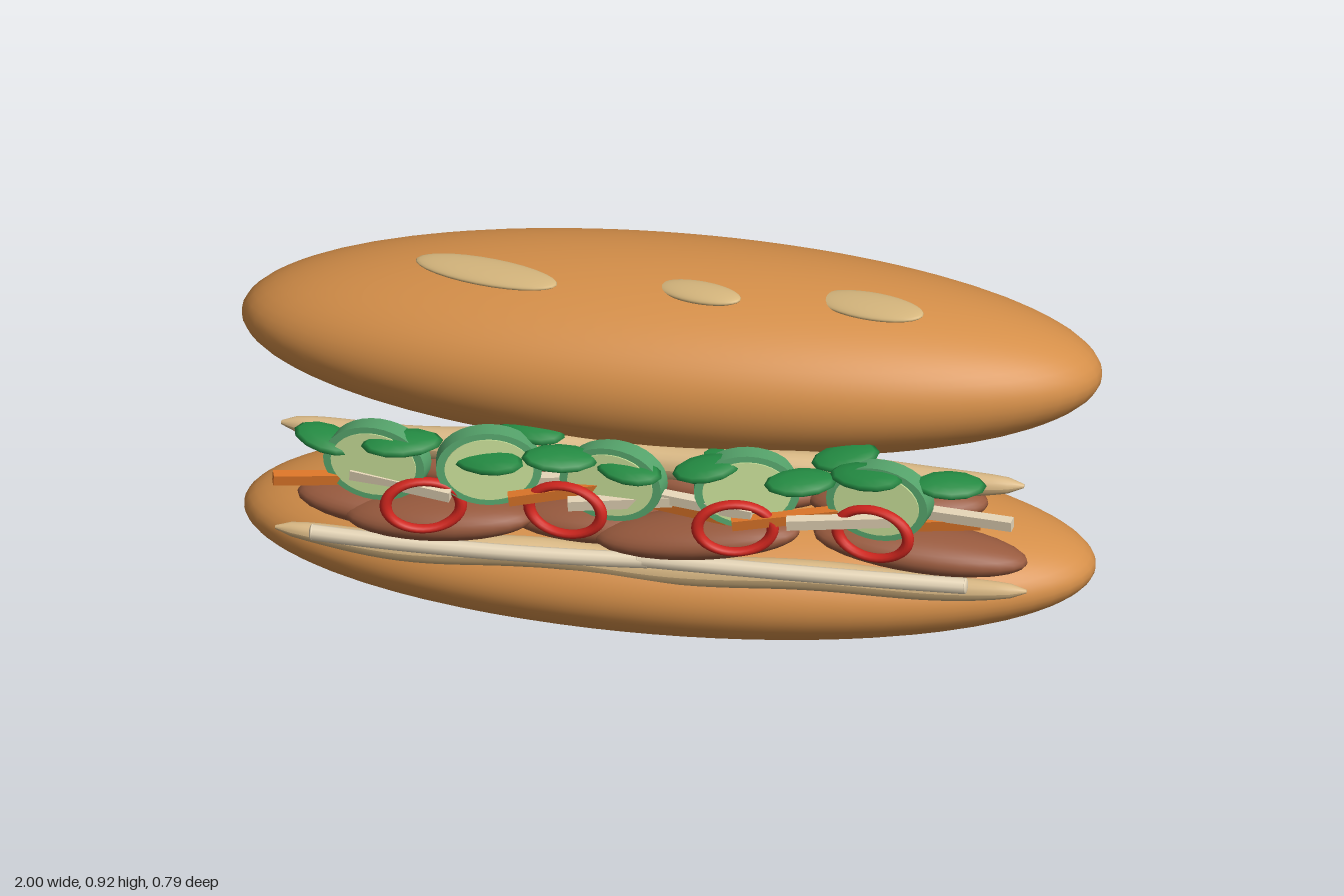
import * as THREE from 'three';

const mat = (name, color) => {
  const m = new THREE.MeshStandardMaterial({ color });
  m.name = name;
  return m;
};

export function createModel() {
  const root = new THREE.Group();
  root.name = 'sandwich';
  const M = {
    crust: mat('crust', 0xd58f49),
    seed: mat('seed', 0xd9b97f),
    sauce: mat('sauce', 0xd9b884),
    cream: mat('cream', 0xe6d6b8),
    meat: mat('meat', 0x985a3e),
    rind: mat('cucumber rind', 0x56a56c),
    flesh: mat('cucumber flesh', 0xc6dc96),
    herb: mat('herb', 0x238a42),
    chilli: mat('chilli', 0xd0261e),
    carrot: mat('carrot', 0xdc7528),
  };

  const add = (name, geo, material, pos, rot = [0, 0, 0], scale = [1, 1, 1], parent = root) => {
    const m = new THREE.Mesh(geo, material);
    m.name = name;
    m.position.set(...pos);
    m.rotation.set(...rot);
    m.scale.set(...scale);
    parent.add(m);
    return m;
  };

  // Buns
  const bunGeo = new THREE.SphereGeometry(1, 64, 40);
  add('bottomBun', bunGeo, M.crust, [0, 0.181, -0.018], [0, 0, 0], [0.99, 0.18, 0.338]);
  add('topBun', bunGeo, M.crust, [0, 0.678, -0.048], [-0.122, 0, 0], [1, 0.226, 0.348]);

  // Seeds on the top bun: x, y, z, half length, half width
  const ball = new THREE.SphereGeometry(1, 28, 18);
  [[-0.415, 0.892, 0.058, 0.185, 0.05],
   [0.085, 0.903, 0.09, 0.108, 0.04],
   [0.48, 0.89, 0.068, 0.138, 0.05]].forEach(([x, y, z, l, w]) =>
    add('seed', ball, M.seed, [x, y, z], [0.1, -0.34, 0.13], [l, 0.015, w]));

  // Tapered sauce lines with a slight wave
  const sauceLine = (name, y, z, half, r, lift) => {
    const g = new THREE.CylinderGeometry(1, 1, 2, 18, 48).rotateZ(Math.PI / 2);
    const p = g.attributes.position;
    for (let i = 0; i < p.count; i++) {
      const t = p.getX(i);
      const k = r * (0.12 + 0.88 * Math.sqrt(Math.max(0, 1 - t ** 4)));
      p.setXYZ(i, t * half,
        p.getY(i) * k + lift * t * t - 0.006 * Math.cos(t * 9),
        p.getZ(i) * k + 0.008 * Math.sin(t * 8));
    }
    g.computeVertexNormals();
    add(name, g, M.sauce, [0, y, z]);
  };
  sauceLine('lowerSauce', 0.268, 0.267, 0.875, 0.036, 0.01);
  sauceLine('upperSauce', 0.54, 0.24, 0.865, 0.04, 0.005);

  // Cream strips in front of the meat
  const strip = (x0, x1, sag) => {
    const curve = new THREE.QuadraticBezierCurve3(
      new THREE.Vector3(x0, 0.318, 0.325),
      new THREE.Vector3((x0 + x1) / 2, 0.318 + sag, 0.35),
      new THREE.Vector3(x1, 0.316, 0.325));
    const g = new THREE.Group();
    g.name = 'creamStrip';
    root.add(g);
    add('creamStripBody', new THREE.TubeGeometry(curve, 20, 0.019, 10), M.cream, [0, 0, 0], [0, 0, 0], [1, 1, 1], g);
    [x0, x1].forEach((x, i) => add('creamStripEnd', ball, M.cream,
      [x, i ? 0.316 : 0.318, 0.325], [0, 0, 0], [0.006, 0.019, 0.019], g));
  };
  strip(-0.78, 0, -0.008);
  strip(-0.02, 0.74, 0.008);

  // Meat pieces: x, y, z, half length, tilt
  [[-0.6, 0.35, 0.22, 0.23, -0.06],
   [0.62, 0.347, 0.22, 0.25, -0.08],
   [-0.49, 0.365, 0.28, 0.22, 0.07],
   [0.11, 0.37, 0.28, 0.24, 0.12],
   [-0.12, 0.35, 0.21, 0.22, 0.03],
   [-0.42, 0.437, 0.15, 0.23, 0.05],
   [0.16, 0.437, 0.15, 0.23, -0.05],
   [0.56, 0.437, 0.17, 0.21, 0.05]].forEach(([x, y, z, l, a]) =>
    add('meat', ball, M.meat, [x, y, z], [0, 0, a], [l, 0.049, 0.085]));

  // Cucumber slices with a pale face on each side
  const rindGeo = new THREE.CylinderGeometry(1, 1, 0.055, 32).rotateX(Math.PI / 2);
  const faceGeo = new THREE.CylinderGeometry(0.84, 0.84, 0.063, 32).rotateX(Math.PI / 2);
  [[-0.63, 0.52], [-0.37, 0.53], [-0.08, 0.515], [0.23, 0.525], [0.54, 0.52]].forEach(([x, y], i) => {
    const g = new THREE.Group();
    g.name = 'cucumberSlice';
    g.position.set(x, y, 0.31);
    g.rotation.set(-0.12, (i % 2 ? 0.15 : -0.15), 0);
    root.add(g);
    const s = [0.122, 0.09, 1];
    add('cucumberRind', rindGeo, M.rind, [0, 0, 0], [0, 0, 0], s, g);
    add('cucumberFace', faceGeo, M.flesh, [0, 0, 0], [0, 0, 0], s, g);
  });

  // Carrot and pale radish sticks: x, y, z, length, yaw, roll
  const box = new THREE.BoxGeometry(1, 1, 1);
  const sticks = (name, material, list) => list.forEach(([x, y, z, l, yaw, roll]) =>
    add(name, box, material, [x, y, z], [0.1, yaw, roll], [l, 0.026, 0.024]));
  sticks('carrotStick', M.carrot, [
    [-0.72, 0.468, 0.32, 0.3, 0.25, -0.08],
    [-0.42, 0.455, 0.3, 0.28, -0.1, 0.08],
    [-0.2, 0.49, 0.34, 0.24, 0.2, 0.12],
    [0.04, 0.462, 0.31, 0.3, -0.15, -0.06],
    [0.33, 0.47, 0.34, 0.26, 0.2, 0.08],
    [0.62, 0.457, 0.3, 0.3, 0.12, 0.03],
    [-0.25, 0.52, 0.2, 0.28, 0.15, 0.06],
    [0.4, 0.52, 0.2, 0.28, -0.15, -0.06]]);
  sticks('radishStick', M.cream, [
    [-0.57, 0.48, 0.345, 0.24, -0.15, -0.06],
    [-0.3, 0.488, 0.3, 0.26, 0.12, 0.05],
    [-0.06, 0.48, 0.345, 0.24, 0.12, 0.06],
    [0.12, 0.49, 0.34, 0.26, -0.12, -0.05],
    [0.45, 0.48, 0.355, 0.24, 0.1, 0.06],
    [0.73, 0.485, 0.3, 0.24, -0.14, 0.03]]);

  // Herb leaves: x, y, z, half length
  const leafGeo = new THREE.SphereGeometry(1, 12, 6);
  [[-0.75, 0.552, 0.29, 0.08], [-0.57, 0.578, 0.325, 0.095], [-0.37, 0.558, 0.34, 0.09],
   [-0.2, 0.58, 0.34, 0.09], [-0.04, 0.56, 0.335, 0.08], [0.14, 0.582, 0.335, 0.08],
   [0.2, 0.558, 0.27, 0.09], [0.36, 0.568, 0.34, 0.085], [0.51, 0.588, 0.325, 0.09],
   [0.7, 0.565, 0.295, 0.085], [-0.28, 0.59, 0.24, 0.08], [0.45, 0.59, 0.25, 0.08]].forEach(([x, y, z, l], i) =>
    add('herbLeaf', leafGeo, M.herb, [x, y, z],
      [0.22, (i % 2 ? 1 : -1) * 0.22, (i % 3 - 1) * 0.12], [l, 0.017, 0.046]));

  // Chilli rings
  const ringGeo = new THREE.TorusGeometry(0.087, 0.014, 12, 36);
  [[-0.515, 0.437, 0.2], [-0.185, 0.455, -0.15], [0.21, 0.443, 0.15], [0.53, 0.458, -0.2]].forEach(([x, y, a]) =>
    add('chilliRing', ringGeo, M.chilli, [x, y, 0.36], [-0.08, a, 0], [1, 0.7, 1]));

  return root;
}
